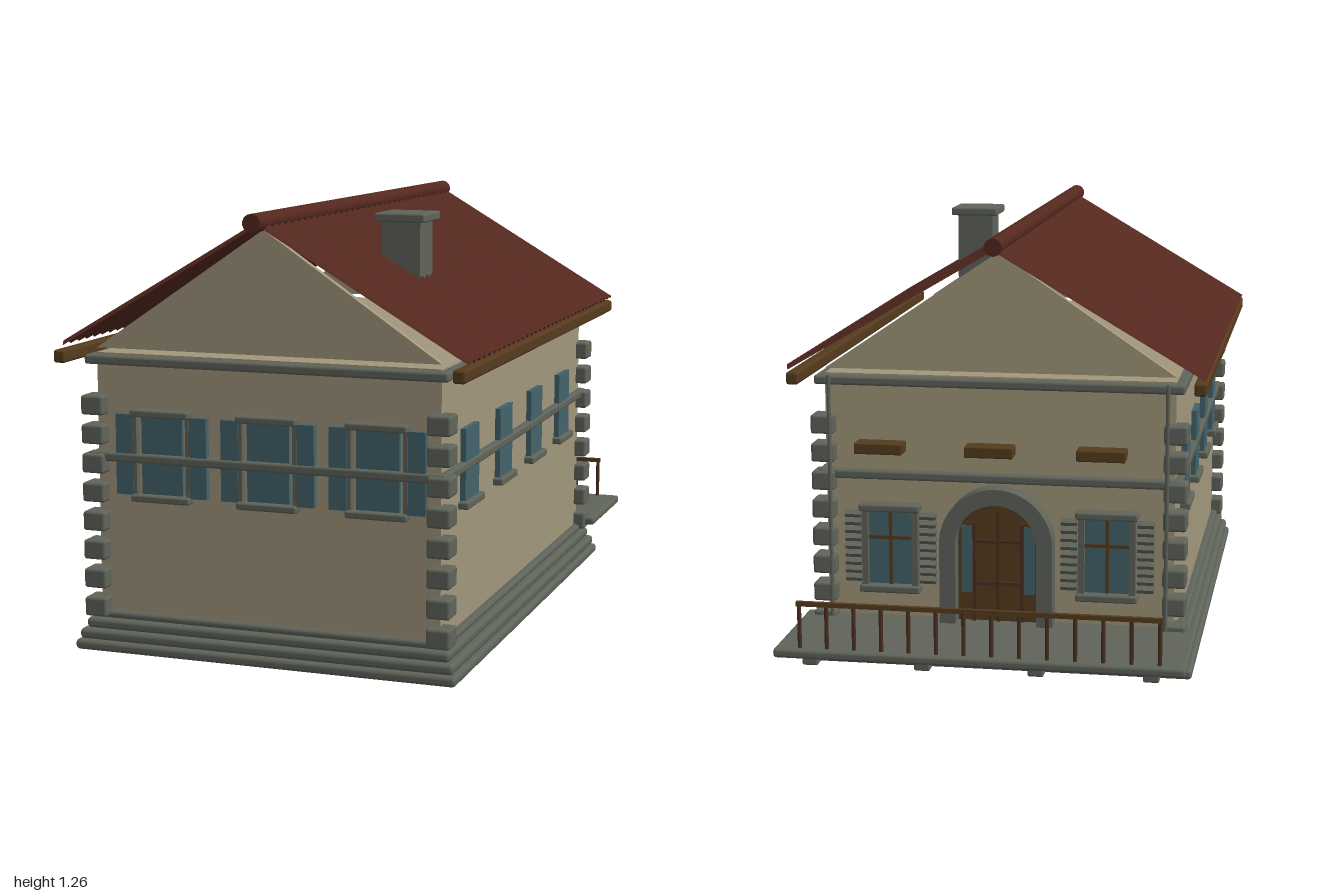
import * as THREE from 'three';
import { toCreasedNormals } from 'three/addons/utils/BufferGeometryUtils.js';
import { RoundedBoxGeometry } from 'three/addons/geometries/RoundedBoxGeometry.js';

const mat = (name, color, extra = {}) =>
  Object.assign(new THREE.MeshStandardMaterial({ color, ...extra }), { name });

export function createModel() {
  const plaster = mat('plaster', 0xa2977c);
  const stone = mat('stone', 0x5f645a);
  const tile = mat('roofTile', 0x55281f, { side: THREE.DoubleSide });
  const wood = mat('wood', 0x553b1d);
  const rail = mat('darkWood', 0x4a2e1f);
  const glass = mat('blueGlass', 0x44636b);

  const house = new THREE.Group();
  house.name = 'house';
  const CZ = 0.14, HX = 0.51, HZ = 0.77; // wall centre and half sizes

  const add = (parent, name, geo, material, x = 0, y = 0, z = 0) => {
    const m = new THREE.Mesh(geo, material);
    m.name = name;
    m.position.set(x, y, z);
    parent.add(m);
    return m;
  };
  const box = (p, name, material, w, h, d, x, y, z) =>
    add(p, name, new THREE.BoxGeometry(w, h, d), material, x, y, z);
  const soft = (p, name, material, w, h, d, x, y, z, r = 0.008) =>
    add(p, name, new RoundedBoxGeometry(w, h, d, 2, Math.min(r, w / 2.1, h / 2.1, d / 2.1)), material, x, y, z);
  const rod = (p, name, material, r, len, x, y, z, sides = 8) =>
    add(p, name, new THREE.CylinderGeometry(r, r, len, sides), material, x, y, z);
  const wallGroup = (name, x, z, turn) => {
    const g = new THREE.Group();
    g.name = name;
    g.position.set(x, 0, z);
    g.rotation.y = turn;
    house.add(g);
    return g;
  };

  // stepped plinth, walls, string course and cornice
  [[0.57, 0.03], [0.56, 0.03], [0.545, 0.03], [0.53, 0.022]].forEach(([hx, h], i) => {
    soft(house, 'plinthStep', stone, hx * 2, h, (hx + 0.26) * 2, 0, 0.03 * i + h / 2, CZ, 0.012);
  });
  box(house, 'walls', plaster, HX * 2, 0.757, HZ * 2, 0, 0.4785, CZ);
  soft(house, 'stringCourse', stone, 1.06, 0.027, HZ * 2 + 0.05, 0, 0.562, CZ);
  soft(house, 'cornice', stone, 1.074, 0.027, HZ * 2 + 0.06, 0, 0.839, CZ);

  // corner stones
  for (const sx of [-1, 1]) for (const sz of [-1, 1]) for (let i = 0; i < 8; i++) {
    soft(house, 'cornerStone', stone, 0.068, 0.056, 0.072, sx * 0.513, 0.124 + i * 0.0836, CZ + sz * 0.773);
  }

  // gable walls
  const tri = new THREE.Shape([[-HX, 0.87], [HX, 0.87], [0, 1.215]].map(p => new THREE.Vector2(...p)));
  for (const z of [CZ + HZ - 0.02, CZ - HZ]) {
    add(house, 'gable', new THREE.ExtrudeGeometry(tri, { depth: 0.02, bevelEnabled: false }), plaster, 0, 0, z);
  }

  // corrugated roof slopes: arched tile rows running from ridge to eave
  const rows = 34, per = 6, z0 = -0.715, z1 = 0.95;
  for (const s of [-1, 1]) {
    const geo = new THREE.PlaneGeometry(1, 1, rows * per, 1);
    const p = geo.attributes.position;
    for (let i = 0; i < p.count; i++) {
      const u = p.getX(i) + 0.5, v = p.getY(i) + 0.5;
      const lift = 0.014 * Math.abs(Math.sin(Math.PI * rows * u));
      p.setXYZ(i, s * (0.597 * v + 0.502 * lift), 1.228 - 0.351 * v + 0.865 * lift, z0 + (z1 - z0) * u);
    }
    add(house, 'roofSlope', toCreasedNormals(geo, 0.9), tile);
    soft(house, 'eaveGutter', wood, 0.036, 0.037, 1.72, s * 0.584, 0.852, 0.14);
  }
  rod(house, 'ridgeCap', tile, 0.026, 1.71, 0, 1.238, 0.14, 14).rotation.x = Math.PI / 2;

  // chimney
  box(house, 'chimney', stone, 0.115, 0.24, 0.115, 0.257, 1.1, 0.443);
  soft(house, 'chimneyCap', stone, 0.152, 0.026, 0.155, 0.257, 1.226, 0.443, 0.006);

  // front windows with open shutters
  const front = wallGroup('frontWindows', 0, CZ + HZ, 0);
  for (const x of [-0.308, 0.013, 0.333]) {
    box(front, 'windowPane', glass, 0.125, 0.23, 0.016, x, 0.572, 0.004);
    for (const y of [0.693, 0.45]) soft(front, 'windowSill', stone, 0.178, 0.021, 0.05, x, y, 0.01, 0.006);
    for (const s of [-1, 1]) {
      box(front, 'windowJamb', stone, 0.012, 0.225, 0.03, x + s * 0.081, 0.572, 0.005);
      box(front, 'shutter', glass, 0.051, 0.23, 0.022, x + s * 0.113, 0.572, 0.009);
    }
  }

  // side windows
  for (const s of [-1, 1]) {
    const side = wallGroup('sideWindows', s * HX, 0, s * Math.PI / 2);
    for (let i = 0; i < 4; i++) {
      const x = -s * (0.67 - i * 0.3477);
      box(side, 'windowPane', glass, 0.132, 0.205, 0.03, x, 0.565, 0.001);
      soft(side, 'windowSill', stone, 0.166, 0.022, 0.06, x, 0.454, 0.0, 0.006);
    }
  }

  // back windows with louvred shutters
  const back = wallGroup('backWall', 0, CZ - HZ, Math.PI);
  for (const x of [-0.318, 0.318]) {
    box(back, 'windowPane', glass, 0.13, 0.23, 0.016, x, 0.345, 0.004);
    box(back, 'mullion', wood, 0.01, 0.23, 0.022, x, 0.345, 0.006);
    box(back, 'glazingBar', wood, 0.13, 0.01, 0.022, x, 0.375, 0.006);
    for (const y of [0.467, 0.224]) soft(back, 'windowSill', stone, 0.18, 0.022, 0.06, x, y, 0.012, 0.006);
    for (const s of [-1, 1]) {
      box(back, 'windowJamb', stone, 0.018, 0.225, 0.04, x + s * 0.074, 0.345, 0.01);
      for (let i = 0; i < 9; i++) {
        box(back, 'shutterSlat', stone, 0.048, 0.012, 0.02, x + s * 0.111, 0.25 + i * 0.024, 0.012).rotation.x = 0.5;
      }
    }
  }

  // arched doorway
  const arch = (r, bottom) => {
    const s = new THREE.Shape();
    s.moveTo(r, bottom);
    s.lineTo(r, 0.375);
    s.absarc(0, 0.375, r, 0, Math.PI, false);
    s.lineTo(-r, bottom);
    return s;
  };
  const surround = arch(0.165, 0.09);
  surround.lineTo(-0.118, 0.09);
  surround.lineTo(-0.118, 0.375);
  surround.absarc(0, 0.375, 0.118, Math.PI, 0, true);
  surround.lineTo(0.118, 0.09);
  const extrude = (shape, depth) =>
    toCreasedNormals(new THREE.ExtrudeGeometry(shape, { depth, bevelEnabled: false, curveSegments: 20 }), 0.5);
  add(back, 'doorSurround', extrude(surround, 0.06), stone);
  add(back, 'door', extrude(arch(0.118, 0.13), 0.012), wood);
  for (const s of [-1, 1]) {
    box(back, 'doorPane', glass, 0.032, 0.2, 0.006, s * 0.092, 0.32, 0.013);
    box(back, 'doorStile', rail, 0.01, 0.3, 0.016, s * 0.07, 0.28, 0.012);
  }
  box(back, 'doorMiddleStile', rail, 0.01, 0.34, 0.016, 0, 0.3, 0.012);
  for (const y of [0.25, 0.375]) box(back, 'doorRail', rail, 0.14, 0.01, 0.016, 0, y, 0.012);

  // wooden boxes above and downpipes
  for (const x of [-0.308, 0.013, 0.333]) {
    soft(house, 'woodenBox', wood, 0.14, 0.032, 0.062, x, 0.656, -0.7, 0.004);
  }
  for (const s of [-1, 1]) rod(house, 'downpipe', stone, 0.006, 0.72, s * 0.49, 0.495, -0.668);

  // balcony slab, corbels and railing
  soft(house, 'balconySlab', stone, 1.156, 0.027, 0.39, 0, 0.123, -0.805, 0.01);
  for (const x of [-0.48, -0.16, 0.16, 0.48]) {
    soft(house, 'corbel', stone, 0.045, 0.035, 0.048, x, 0.099, -0.942, 0.006);
  }
  box(house, 'handrail', wood, 1.026, 0.013, 0.013, 0, 0.264, -0.975);
  for (let i = 0; i < 14; i++) {
    rod(house, 'baluster', rail, 0.006, 0.13, -0.505 + i * 1.01 / 13, 0.198, -0.975);
  }
  return house;
}
